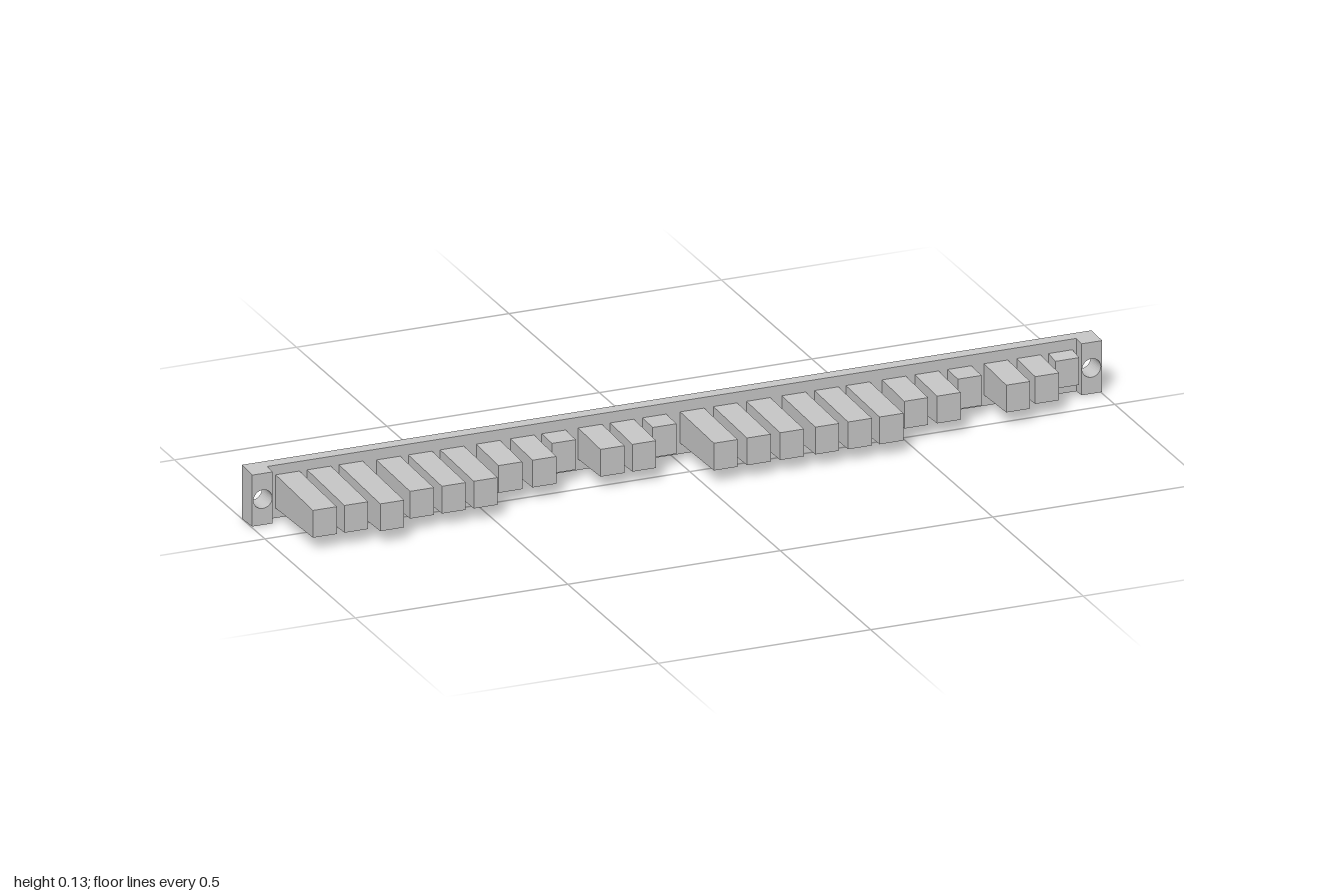
import * as THREE from 'three';

const MID = 0.063; // height of the centre line
const BACK = -0.127, FACE = -0.1, LUG = -0.07;

// Scale y about the centre line so the part narrows slightly toward +z
function draft(geometry, halfAt) {
  const p = geometry.attributes.position;
  for (let i = 0; i < p.count; i++) p.setY(i, MID + p.getY(i) * halfAt(p.getZ(i)));
  geometry.computeVertexNormals();
  return geometry;
}

// Plate from x0 to x1 with round screw holes, unit half-height before drafting
function plate(x0, x1, z0, z1, holes) {
  const half = (z) => 0.063 - (0.003 * (z - BACK)) / (LUG - BACK);
  const s = new THREE.Shape([[x0, -1], [x1, -1], [x1, 1], [x0, 1]].map(([x, y]) => new THREE.Vector2(x, y)));
  for (const hx of holes) {
    const h = new THREE.Path();
    h.absellipse(hx, 0, 0.022, 0.022 / 0.061, 0, Math.PI * 2, true);
    s.holes.push(h);
  }
  const g = new THREE.ExtrudeGeometry(s, { depth: z1 - z0, bevelEnabled: false, curveSegments: 16 });
  return draft(g.translate(0, 0, z0), half);
}

export function createModel() {
  const group = new THREE.Group();
  const grey = new THREE.MeshStandardMaterial({ color: 0xc6c6c6 });
  grey.name = 'light grey';
  const add = (geometry, name) => {
    const mesh = new THREE.Mesh(geometry, grey);
    mesh.name = name;
    group.add(mesh);
  };

  // Back rail and the raised mounting lugs at its ends
  add(plate(-1, 1, BACK, FACE, [-0.975, 0.975]), 'backRail');
  add(plate(-1, -0.952, FACE, LUG, [-0.975]), 'rightLug');
  add(plate(0.952, 1, FACE, LUG, [0.975]), 'leftLug');

  // Row of tapered teeth: centre x, z of the tip
  const teeth = [
    [-0.904, 0.106], [-0.83, 0.106], [-0.755, 0.128],
    [-0.667, 0.086], [-0.592, 0.086], [-0.517, 0.086],
    [-0.432, 0.023], [-0.352, 0.023], [-0.278, -0.043],
    [-0.192, 0.023], [-0.117, 0.023], [-0.041, -0.043],
    [0.048, 0.086], [0.126, 0.086], [0.204, 0.086],
    [0.287, 0.086], [0.364, 0.086], [0.438, 0.086],
    [0.523, 0.023], [0.6, 0.023], [0.677, -0.043],
    [0.763, 0.023], [0.84, 0.002], [0.915, -0.063],
  ];
  teeth.forEach(([x, tip], i) => {
    const g = new THREE.BoxGeometry(0.056, 2, tip - FACE).translate(x, 0, (tip + FACE) / 2);
    const root = i < 3 ? 0.039 : 0.0365; // the three longest teeth are thicker at the root
    const tipHalf = tip < 0 && tip > -0.06 ? 0.035 : 0.0318;
    add(draft(g, (z) => THREE.MathUtils.lerp(root, tipHalf, (z - FACE) / (tip - FACE))), 'tooth' + (i + 1));
  });
  return group;
}
